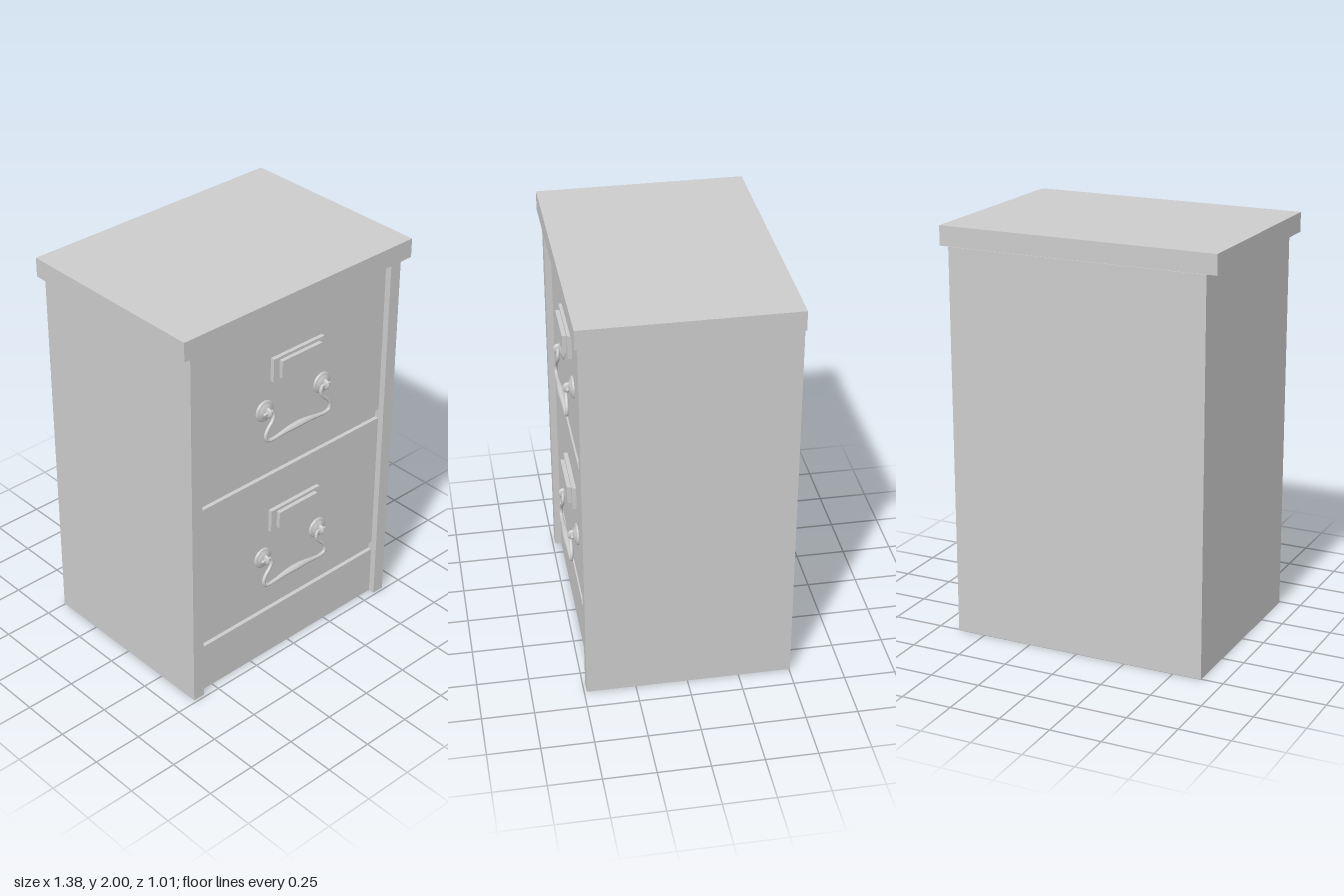
import * as THREE from 'three';

const material = new THREE.MeshStandardMaterial({ color: 0xcccccc });

function add(parent, name, geometry) {
  const mesh = new THREE.Mesh(geometry, material);
  mesh.name = name;
  parent.add(mesh);
  return mesh;
}

// Box given by its limits on each axis
function box(parent, name, [x0, x1], [y0, y1], [z0, z1]) {
  const mesh = add(parent, name, new THREE.BoxGeometry(x1 - x0, y1 - y0, z1 - z0));
  mesh.position.set((x0 + x1) / 2, (y0 + y1) / 2, (z0 + z1) / 2);
  return mesh;
}

// Tube whose radius follows a function of the position along the path
function taperedTube(path, segments, sides, radiusAt) {
  const geometry = new THREE.TubeGeometry(path, segments, 1, sides);
  const position = geometry.attributes.position;
  const v = new THREE.Vector3();
  for (let i = 0; i <= segments; i++) {
    const centre = path.getPointAt(i / segments);
    for (let j = 0; j <= sides; j++) {
      const k = i * (sides + 1) + j;
      v.fromBufferAttribute(position, k).sub(centre).multiplyScalar(radiusAt(i / segments)).add(centre);
      position.setXYZ(k, v.x, v.y, v.z);
    }
  }
  geometry.computeVertexNormals();
  return geometry;
}

const FRONT = 0.455; // face of the drawers

// Bail pull: two domed rosettes with eye posts and a swinging handle
function createPull() {
  const pull = new THREE.Group();
  pull.name = 'drawerPull';

  const dome = [[0.053, 0], [0.053, 0.006], [0.046, 0.011], [0.041, 0.009], [0.036, 0.014], [0.024, 0.02], [0, 0.023]]
    .map(([r, h]) => new THREE.Vector2(r, h));
  for (const side of [-1, 1]) {
    const mount = new THREE.Group();
    mount.name = side > 0 ? 'leftMount' : 'rightMount';
    mount.position.x = side * 0.18;
    add(mount, 'rosette', new THREE.LatheGeometry(dome, 28)).rotation.x = Math.PI / 2;
    const post = add(mount, 'post', new THREE.SphereGeometry(1, 14, 10));
    post.scale.set(0.011, 0.027, 0.024);
    post.position.z = 0.026;
    const pin = add(mount, 'pin', new THREE.CapsuleGeometry(0.008, 0.045, 4, 10));
    pin.rotation.z = Math.PI / 2;
    pin.position.z = 0.028;
    pull.add(mount);
  }

  // Half the handle from the pin to the middle, then mirrored
  const half = [[0.155, 0, 0.028], [0.147, -0.022, 0.03], [0.158, -0.05, 0.031], [0.185, -0.077, 0.033],
    [0.203, -0.108, 0.035], [0.197, -0.135, 0.036], [0.17, -0.144, 0.036], [0.125, -0.141, 0.036], [0.065, -0.134, 0.036]];
  const points = [...half.map(([x, y, z]) => [-x, y, z]), [0, -0.132, 0.036], ...half.slice().reverse()]
    .map((p) => new THREE.Vector3(...p));
  const path = new THREE.CatmullRomCurve3(points);
  add(pull, 'handle', taperedTube(path, 96, 12, (t) => 0.0085 + 0.008 * Math.exp(-(((t - 0.5) / 0.13) ** 2))));
  return pull;
}

function createDrawer(name, y0, y1, labelY, pullY) {
  const drawer = new THREE.Group();
  drawer.name = name;
  box(drawer, 'drawerFront', [-0.58, 0.58], [y0, y1], [0.4, FRONT]);
  box(drawer, 'labelFrame', [-0.142, 0.172], [labelY - 0.059, labelY + 0.059], [FRONT, 0.475]);
  box(drawer, 'labelPlate', [-0.107, 0.139], [labelY - 0.045, labelY + 0.045], [FRONT, 0.495]);
  const pull = createPull();
  pull.position.set(0.002, pullY, FRONT);
  drawer.add(pull);
  return drawer;
}

export function createModel() {
  const cabinet = new THREE.Group();
  cabinet.name = 'filingCabinet';

  // Carcass and the overhanging top
  box(cabinet, 'top', [-0.69, 0.69], [1.905, 2], [-0.5, 0.505]);
  box(cabinet, 'carcass', [-0.58, 0.58], [0, 1.905], [-0.505, 0.435]);
  for (const side of [-1, 1]) {
    const panel = box(cabinet, side > 0 ? 'leftSide' : 'rightSide', [0.58, 0.642], [0, 1.905], [-0.505, 0.487]);
    panel.position.x *= side;
  }

  // Plinth and drawers leave shallow recesses between them
  box(cabinet, 'plinth', [-0.58, 0.58], [0, 0.26], [0.4, FRONT]);
  cabinet.add(createDrawer('lowerDrawer', 0.308, 1.05, 0.796, 0.596));
  cabinet.add(createDrawer('upperDrawer', 1.1, 1.905, 1.622, 1.421));
  return cabinet;
}
